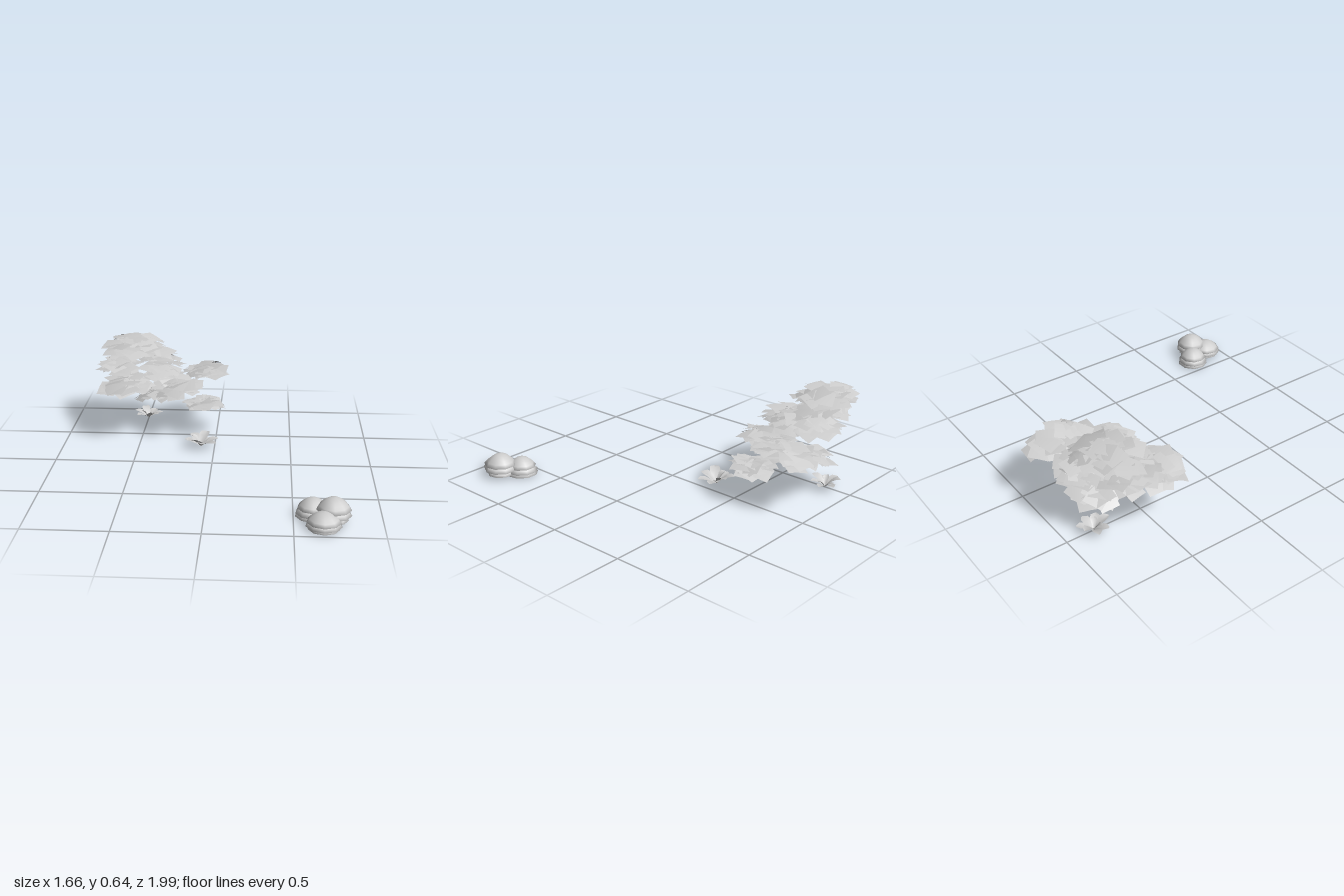
import * as THREE from 'three';

// Small seeded generator, returns values in -1..1
function makeRandom(seed) {
  let s = seed;
  return () => {
    s = (s * 16807) % 2147483647;
    return (s / 2147483647) * 2 - 1;
  };
}

// Slightly cupped square leaf card, lying flat and facing up
function leafCard(size) {
  const geo = new THREE.PlaneGeometry(size, size, 2, 2);
  geo.rotateX(-Math.PI / 2);
  const p = geo.attributes.position;
  for (let i = 0; i < p.count; i++) {
    const x = p.getX(i) / size, z = p.getZ(i) / size;
    p.setY(i, -(x * x + z * z) * size * 0.1);
  }
  geo.computeVertexNormals();
  return geo;
}

// Flat cloud of overlapping cards spread in a spiral through a shallow dome
function foliagePad(material, pad, random) {
  const [x, y, z, rx, ry, rz, count, roll, pitch] = pad;
  const group = new THREE.Group();
  group.name = 'foliagePad';
  group.position.set(x, y, z);
  group.rotation.set(pitch, 0, roll);
  const card = leafCard(0.122);
  const up = new THREE.Vector3(0, 1, 0);
  for (let i = 0; i < count; i++) {
    const r = Math.sqrt((i + 0.5) / count);
    const a = i * 2.39996 + random() * 0.35;
    const u = r * Math.cos(a), w = r * Math.sin(a);
    const leaf = new THREE.Mesh(card, material);
    leaf.name = 'leafCard';
    leaf.position.set(u * rx, ry * (0.35 - 0.6 * r * r + random() * 0.6), w * rz);
    const normal = new THREE.Vector3(u * 0.22 + random() * 0.26, 1, w * 0.22 + random() * 0.26).normalize();
    leaf.quaternion.setFromUnitVectors(up, normal);
    leaf.rotateY(random() * Math.PI);
    leaf.scale.setScalar(1 + random() * 0.14);
    group.add(leaf);
  }
  return group;
}

// Arched leaf built from cross-sections: [distance, height, half width]
function rosetteLeaf() {
  const rows = [[0, 0, 0.008], [0.025, 0.022, 0.018], [0.06, 0.045, 0.034], [0.092, 0.056, 0.03], [0.118, 0.058, 0.006]];
  const pos = [], index = [];
  rows.forEach(([d, h, w], i) => {
    pos.push(d, h + w * 0.3, -w, d, h, 0, d, h + w * 0.3, w);
    if (i === rows.length - 1) return;
    for (let k = 0; k < 2; k++) {
      const a = i * 3 + k;
      index.push(a, a + 1, a + 4, a, a + 4, a + 3);
    }
  });
  const geo = new THREE.BufferGeometry();
  geo.setAttribute('position', new THREE.Float32BufferAttribute(pos, 3));
  geo.setIndex(index);
  geo.computeVertexNormals();
  return geo;
}

function rosette(material, x, z, size, turn) {
  const group = new THREE.Group();
  group.name = 'groundPlant';
  group.position.set(x, 0.004, z);
  group.scale.setScalar(size);
  const geo = rosetteLeaf();
  // Outer ring of spreading leaves, inner ring of short ones
  const rings = [[7, 1, 1, 0], [3, 0.62, 0.95, 0.4]];
  for (const [count, reach, rise, offset] of rings) {
    for (let i = 0; i < count; i++) {
      const leaf = new THREE.Mesh(geo, material);
      leaf.name = 'plantLeaf';
      leaf.rotation.y = turn + offset + (i / count) * Math.PI * 2;
      leaf.scale.set(reach * (i % 2 ? 0.92 : 1), rise * [0.72, 1.15, 0.9][i % 3], reach);
      group.add(leaf);
    }
  }
  return group;
}

// Closed cap with a rounded top, sharp rim and nearly flat underside
function moundLayer(material, radius, rimY, topY) {
  const points = [new THREE.Vector2(0, rimY), new THREE.Vector2(radius * 0.8, rimY)];
  for (let i = 0; i <= 6; i++) {
    const r = 1 - i / 6;
    points.push(new THREE.Vector2(radius * r, rimY + 0.003 + (topY - rimY - 0.003) * (1 - r ** 2.1)));
  }
  const mesh = new THREE.Mesh(new THREE.LatheGeometry(points, 9), material);
  mesh.name = 'moundLayer';
  return mesh;
}

export function createModel() {
  const model = new THREE.Group();
  model.name = 'gardenPlants';
  const grey = new THREE.MeshStandardMaterial({ color: 0xcccccc, side: THREE.DoubleSide });
  grey.name = 'light grey';

  // Foliage: x, y, z, spread x, height, spread z, cards, roll, pitch
  const random = makeRandom(4217);
  const pads = [
    [-0.555, 0.565, -0.74, 0.185, 0.075, 0.125, 50, -0.05, 0.03],
    [-0.605, 0.37, -0.465, 0.13, 0.05, 0.125, 38, 0.1, 0.02],
    [-0.67, 0.445, -0.67, 0.09, 0.045, 0.13, 26, 0.03, 0],
    [-0.39, 0.45, -0.81, 0.1, 0.045, 0.11, 24, -0.1, -0.05],
    [-0.37, 0.41, -0.64, 0.1, 0.055, 0.1, 26, -0.15, 0],
    [-0.085, 0.385, -0.77, 0.1, 0.045, 0.165, 38, 0.08, -0.12],
    [-0.26, 0.345, -0.52, 0.11, 0.055, 0.125, 32, 0.08, 0.06],
    [-0.345, 0.245, -0.74, 0.205, 0.035, 0.12, 42, 0.17, -0.06],
    [-0.09, 0.21, -0.565, 0.09, 0.04, 0.09, 26, 0, -0.06],
  ];
  const foliage = new THREE.Group();
  foliage.name = 'treeFoliage';
  for (const pad of pads) foliage.add(foliagePad(grey, pad, random));
  model.add(foliage);

  // Two small plants on the ground
  model.add(rosette(grey, -0.09, -0.285, 1.0, 0.35));
  model.add(rosette(grey, -0.5, -0.82, 0.85, 1.1));

  // Cluster of three layered mounds: x, z, layers of [radius, rim, top]
  const mounds = [
    [0.61, 0.74, [[0.102, 0.002, 0.055], [0.1, 0.02, 0.085], [0.09, 0.05, 0.113]]],
    [0.722, 0.81, [[0.085, 0.015, 0.06], [0.103, 0.045, 0.105], [0.1, 0.078, 0.15]]],
    [0.665, 0.897, [[0.09, 0, 0.05], [0.103, 0.018, 0.07], [0.098, 0.04, 0.1]]],
  ];
  const cluster = new THREE.Group();
  cluster.name = 'moundCluster';
  for (const [x, z, layers] of mounds) {
    const mound = new THREE.Group();
    mound.name = 'mound';
    mound.position.set(x, 0, z);
    for (const [radius, rim, top] of layers) mound.add(moundLayer(grey, radius, rim, top));
    cluster.add(mound);
  }
  model.add(cluster);
  return model;
}
